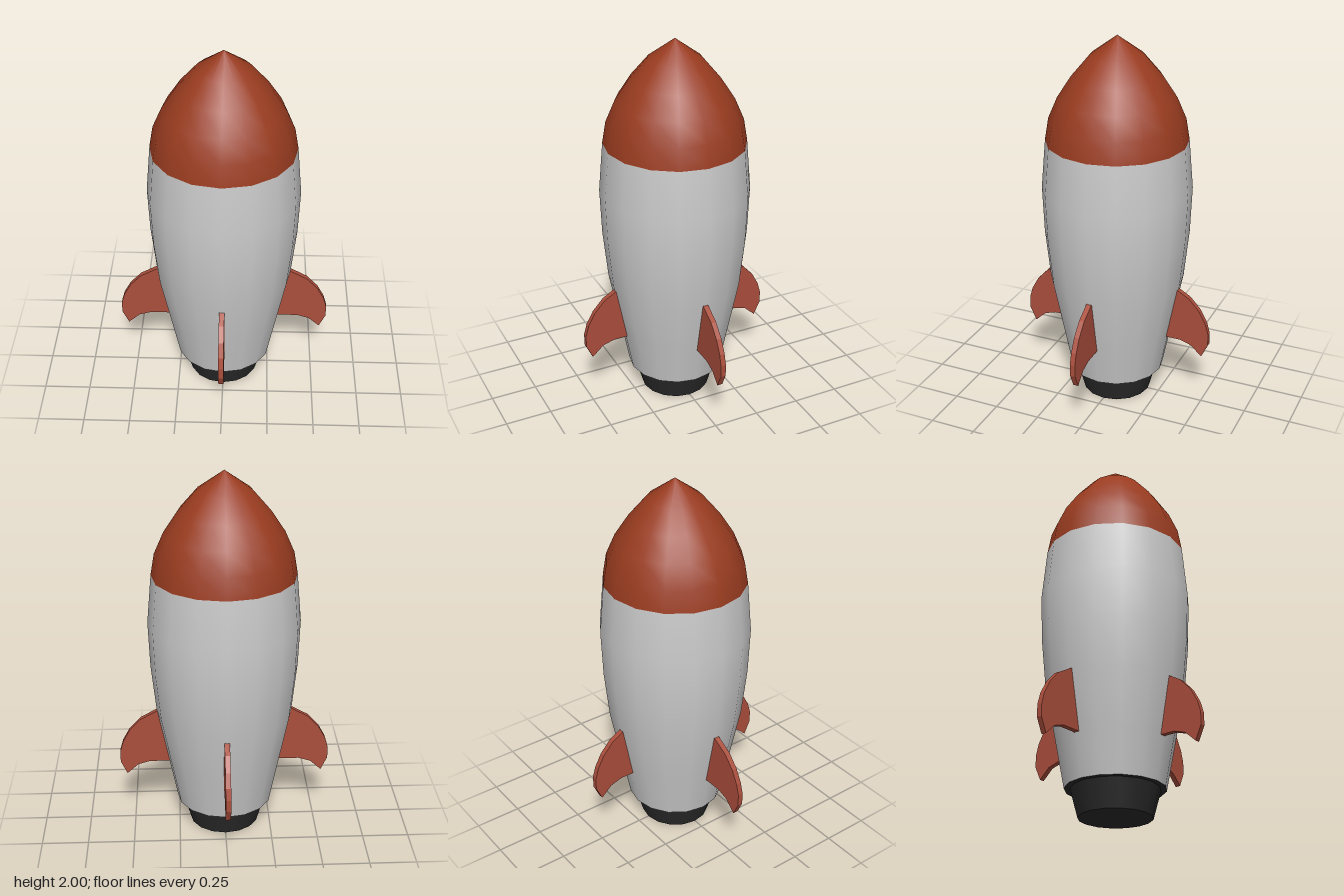
import * as THREE from 'three';

const SIDES = 16;
const DEPTH = 0.98; // hull is slightly narrower front to back

const material = (color) => new THREE.MeshStandardMaterial({ color });

function lathe(name, profile, mat) {
  const points = profile.map(([r, y]) => new THREE.Vector2(r, y));
  const mesh = new THREE.Mesh(new THREE.LatheGeometry(points, SIDES), mat);
  mesh.scale.z = DEPTH;
  mesh.name = name;
  return mesh;
}

export function createModel() {
  const group = new THREE.Group();
  group.name = 'rocket';
  const grey = material(0xcccccc);
  const red = material(0x9a3c20);
  const finRed = material(0xaa4e3c);
  const black = material(0x2a2a2a);

  // Hull
  group.add(lathe('hull', [
    [0.26, 0.145], [0.308, 0.39], [0.365, 0.68], [0.391, 0.94], [0.4, 1.19], [0.376, 1.455],
  ], grey));

  // Nose cone
  group.add(lathe('noseCone', [
    [0.376, 1.455], [0.356, 1.57], [0.308, 1.68], [0.235, 1.79], [0.14, 1.9], [0, 2],
  ], red));

  // Dark underside of the hull
  const base = new THREE.Mesh(new THREE.CircleGeometry(0.26, SIDES), black);
  base.rotation.x = Math.PI / 2;
  base.scale.y = DEPTH;
  base.position.y = 0.145;
  base.name = 'hullBase';
  group.add(base);

  // Engine nozzle
  const nozzle = new THREE.Mesh(new THREE.CylinderGeometry(0.23, 0.19, 0.145, SIDES), black);
  nozzle.scale.z = DEPTH;
  nozzle.position.y = 0.0725;
  nozzle.name = 'nozzle';
  group.add(nozzle);

  // Four swept fins, the front and back ones set further in
  const outline = [
    [0.29, 0.365], [0.41, 0.365], [0.475, 0.345], [0.535, 0.29], [0.57, 0.365], [0.57, 0.43],
    [0.553, 0.49], [0.515, 0.56], [0.455, 0.625], [0.37, 0.673], [0.32, 0.69],
  ].map(([x, y]) => new THREE.Vector2(x, y));
  const thickness = 0.028;
  const finGeometry = new THREE.ExtrudeGeometry(new THREE.Shape(outline), {
    depth: thickness, bevelEnabled: false,
  });
  finGeometry.translate(0, 0, -thickness / 2);
  ['leftFin', 'backFin', 'rightFin', 'frontFin'].forEach((name, i) => {
    const pivot = new THREE.Group();
    pivot.name = name;
    pivot.rotation.y = i * Math.PI / 2;
    const fin = new THREE.Mesh(finGeometry, finRed);
    fin.name = name + 'Blade';
    fin.position.x = i % 2 ? -0.038 : 0;
    pivot.add(fin);
    group.add(pivot);
  });

  return group;
}
